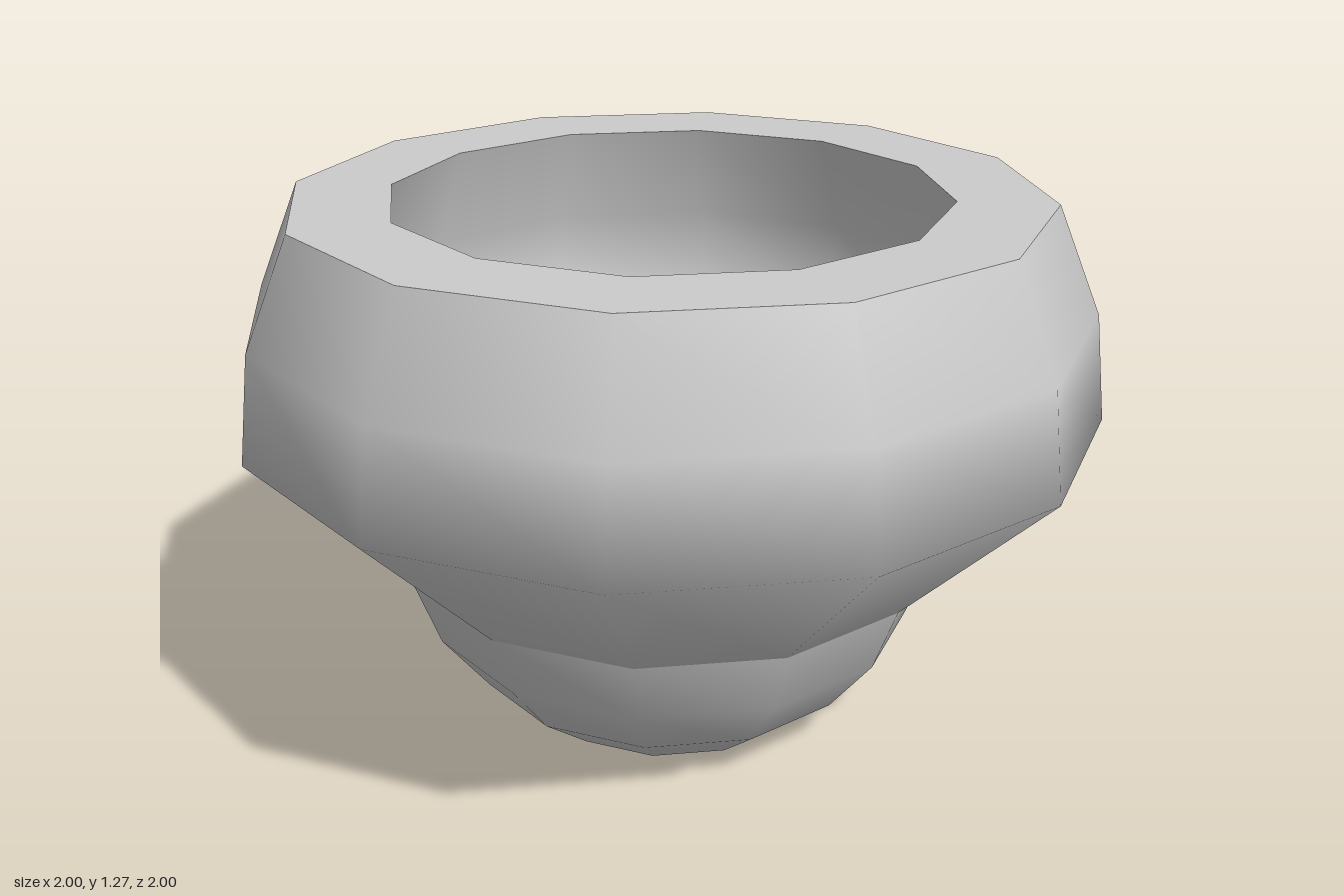
import * as THREE from 'three';

const SIDES = 12;
const material = new THREE.MeshStandardMaterial({ color: 0xcccccc });

// Revolves one smooth stretch of the profile, given as [radius, height] pairs.
function ring(name, profile) {
  const points = profile.map(([r, y]) => new THREE.Vector2(r, y));
  const mesh = new THREE.Mesh(new THREE.LatheGeometry(points, SIDES), material);
  mesh.name = name;
  return mesh;
}

export function createModel() {
  const pot = new THREE.Group();
  pot.name = 'pot';

  // Separate stretches keep the edges between them sharp.
  pot.add(
    ring('base', [[0, 0], [0.33, 0]]),
    ring('foot', [[0.33, 0], [0.47, 0.11], [0.58, 0.25], [0.64, 0.41]]),
    ring('body', [[0.64, 0.41], [1, 0.77], [0.97, 1.02], [0.865, 1.27]]),
    ring('rim', [[0.865, 1.27], [0.64, 1.27]]),
    // The hollow widens below the rim and closes to a flat floor.
    ring('innerWall', [[0.64, 1.27], [0.72, 1.03], [0.74, 0.8], [0.58, 0.56], [0.33, 0.41]]),
    ring('innerFloor', [[0.33, 0.41], [0, 0.41]]),
  );
  return pot;
}
